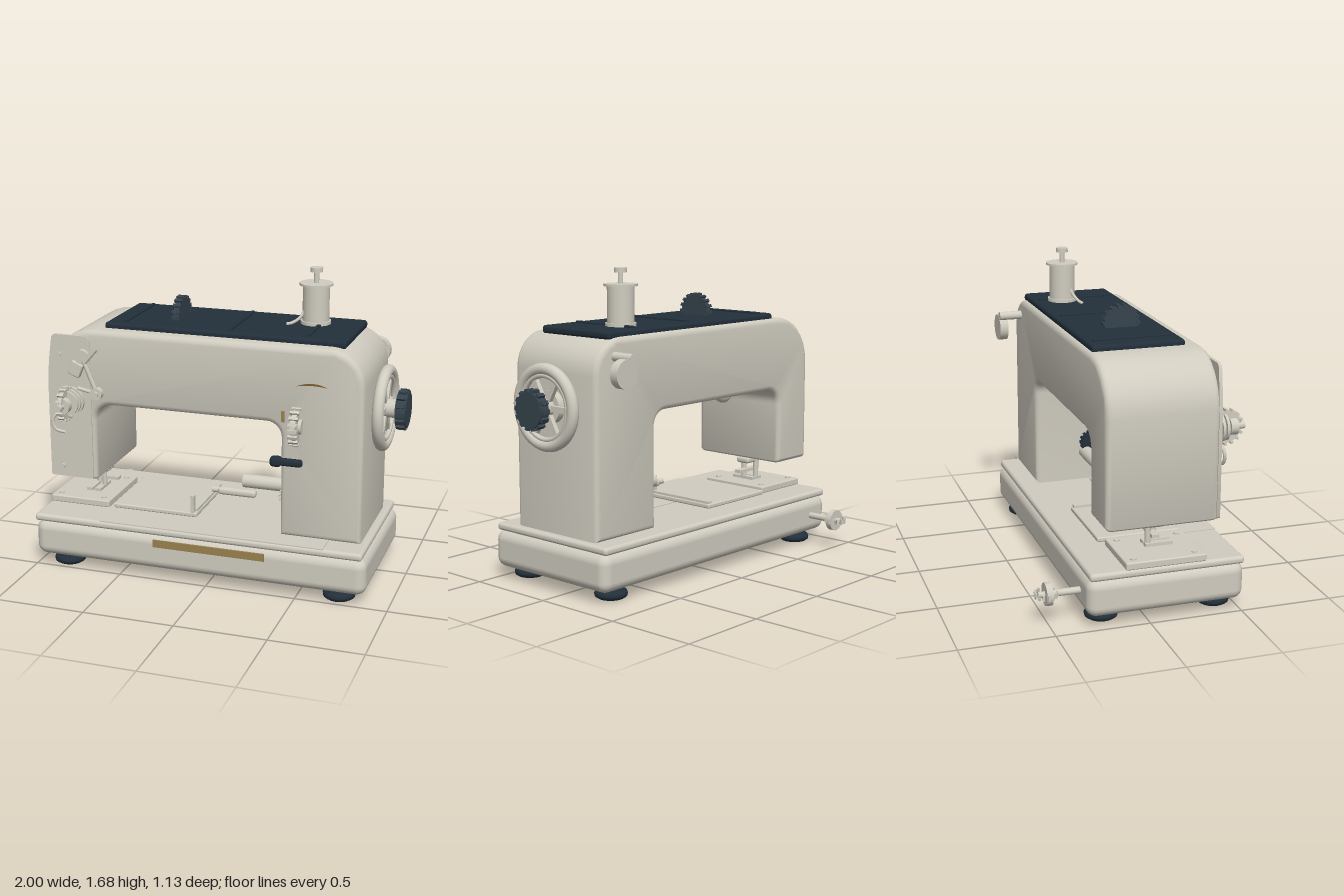
import * as THREE from 'three';
import { toCreasedNormals } from 'three/addons/utils/BufferGeometryUtils.js';
import { RoundedBoxGeometry } from 'three/addons/geometries/RoundedBoxGeometry.js';

const flat = (name, color) => {
  const m = new THREE.MeshStandardMaterial({ color });
  m.name = name;
  return m;
};

// Outline from [x, y, cornerRadius] points with circular-looking corners
function roundedShape(pts) {
  const s = new THREE.Shape(), n = pts.length, k = 0.45;
  pts.forEach(([x, y, r], i) => {
    const p = new THREE.Vector2(x, y);
    const toward = (q, d) => new THREE.Vector2(q[0], q[1]).sub(p).setLength(d).add(p);
    const prev = pts[(i + n - 1) % n], next = pts[(i + 1) % n];
    const a = r ? toward(prev, r) : p, b = r ? toward(next, r) : p;
    if (i) s.lineTo(a.x, a.y); else s.moveTo(a.x, a.y);
    if (r) {
      const c = toward(prev, r * k), d = toward(next, r * k);
      s.bezierCurveTo(c.x, c.y, d.x, d.y, b.x, b.y);
    }
  });
  s.closePath();
  return s;
}

// Extrusion between z0 and z1 with the bevel kept inside the outline
function slab(shape, z0, z1, bevel = 0) {
  const g = new THREE.ExtrudeGeometry(shape, {
    depth: z1 - z0 - 2 * bevel, curveSegments: 8, bevelEnabled: bevel > 0,
    bevelSize: bevel, bevelThickness: bevel, bevelOffset: -bevel, bevelSegments: 3,
  });
  g.translate(0, 0, z0 + bevel);
  return toCreasedNormals(g, 0.6);
}

export function createModel() {
  const root = new THREE.Group();
  root.name = 'sewingMachine';
  const cream = flat('cream enamel', 0xd0ccc0);
  const navy = flat('navy', 0x222f3a);
  const slate = flat('slate knob', 0x36434d);
  const gold = flat('gold trim', 0x9a8250);
  const bronze = flat('bronze mark', 0x7d5f35);

  const add = (name, geo, mat, x = 0, y = 0, z = 0) => {
    const m = new THREE.Mesh(geo, mat);
    m.name = name;
    m.position.set(x, y, z);
    root.add(m);
    return m;
  };
  // Box given by its limits, rounded when r > 0
  const box = (name, mat, [x0, x1], [y0, y1], [z0, z1], r = 0) => {
    const d = [x1 - x0, y1 - y0, z1 - z0];
    const g = r ? new RoundedBoxGeometry(...d, 4, r) : new THREE.BoxGeometry(...d);
    return add(name, g, mat, (x0 + x1) / 2, (y0 + y1) / 2, (z0 + z1) / 2);
  };
  // Cylinder along an axis, centred on x, y, z
  const cyl = (name, mat, axis, r, len, x, y, z, r2 = r) => {
    const g = new THREE.CylinderGeometry(r, r2, len, 32);
    if (axis === 'x') g.rotateZ(-Math.PI / 2);
    if (axis === 'z') g.rotateX(Math.PI / 2);
    return add(name, g, mat, x, y, z);
  };
  // Ring of small grip teeth around an axis
  const teeth = (name, mat, axis, r, count, size, width, x, y, z) => {
    const ring = new THREE.Group();
    ring.name = name;
    for (let i = 0; i < count; i++) {
      const a = (i / count) * Math.PI * 2;
      const t = new THREE.Mesh(new THREE.BoxGeometry(size, size, width), mat);
      t.position.set(Math.cos(a) * r, Math.sin(a) * r, 0);
      t.rotation.z = a;
      ring.add(t);
    }
    if (axis === 'x') ring.rotation.y = Math.PI / 2;
    if (axis === 'y') ring.rotation.x = Math.PI / 2;
    ring.position.set(x, y, z);
    root.add(ring);
  };
  const tube = (name, mat, r, pts) => add(name, new THREE.TubeGeometry(
    new THREE.CatmullRomCurve3(pts.map(p => new THREE.Vector3(...p))), 20, r, 8), mat);

  // Base, deck and feet
  box('base', cream, [-1, 0.88], [0.06, 0.265], [-0.33, 0.515], 0.055);
  box('deck', cream, [-1, 0.86], [0.26, 0.302], [-0.32, 0.51], 0.018);
  box('baseBadge', gold, [-0.295, 0.335], [0.198, 0.24], [0.512, 0.521]);
  for (const x of [-0.84, 0.72]) for (const z of [-0.215, 0.4]) {
    const pts = [[0, 0], [0.07, 0], [0.085, 0.01], [0.088, 0.024], [0.082, 0.038], [0.06, 0.045], [0.05, 0.07], [0, 0.07]];
    add('foot', new THREE.LatheGeometry(pts.map(p => new THREE.Vector2(...p)), 32), navy, x, 0, z);
  }
  box('bedSheet', cream, [-0.61, 0.65], [0.3, 0.306], [0.1, 0.505]);
  box('slidePlate', cream, [-0.61, -0.12], [0.306, 0.332], [-0.16, 0.3], 0.008);
  box('guideRidge', cream, [-0.155, -0.125], [0.33, 0.345], [-0.15, 0.27]);
  box('guidePost', cream, [-0.155, -0.135], [0.33, 0.43], [0.27, 0.3]);
  box('needlePlate', cream, [-0.995, -0.64], [0.3, 0.34], [-0.13, 0.3], 0.008);
  for (const x of [-0.95, -0.69]) for (const z of [-0.08, 0.25])
    cyl('plateScrew', cream, 'y', 0.016, 0.01, x, 0.342, z);

  // Arched body
  const arch = roundedShape([
    [-0.94, 0.49, 0.02], [-0.67, 0.49, 0.02], [-0.67, 0.93, 0.09], [0.38, 0.93, 0.08],
    [0.38, 0.3, 0], [0.82, 0.3, 0], [0.82, 1.345, 0.19], [-0.94, 1.345, 0.27],
  ]);
  add('body', slab(arch, -0.22, 0.385, 0.03), cream);
  const face = roundedShape([[-0.94, 0.5, 0.01], [-0.69, 0.5, 0.01], [-0.69, 1.31, 0.03], [-0.91, 1.31, 0.02], [-0.94, 1.1, 0.1]]);
  add('facePlate', slab(face, 0.372, 0.39), cream);
  for (const y of [0.56, 1.2]) cyl('faceScrew', cream, 'z', 0.014, 0.02, -0.87, y, 0.392);

  // Top cover with ribs and selector dial
  box('topCover', navy, [-0.635, 0.7], [1.33, 1.375], [-0.195, 0.305], 0.018);
  for (const x of [-0.53, 0.06, 0.485]) box('coverRib', navy, [x - 0.011, x + 0.011], [1.365, 1.386], [-0.16, 0.26], 0.006);
  cyl('topDial', slate, 'x', 0.093, 0.03, -0.275, 1.395, 0.075);
  teeth('topDialTeeth', slate, 'x', 0.095, 18, 0.016, 0.044, -0.275, 1.395, 0.075);

  // Winder tower with plunger and spout
  cyl('tower', cream, 'y', 0.072, 0.23, 0.45, 1.475, -0.035);
  cyl('towerFoot', cream, 'y', 0.082, 0.02, 0.45, 1.382, -0.035);
  cyl('towerFlange', cream, 'y', 0.09, 0.012, 0.45, 1.59, -0.035);
  cyl('plungerStem', cream, 'y', 0.014, 0.08, 0.45, 1.63, -0.035);
  cyl('plungerCap', cream, 'y', 0.034, 0.024, 0.45, 1.667, -0.035);
  tube('spout', cream, 0.009, [[0.4, 1.46, -0.01], [0.375, 1.41, 0.015], [0.34, 1.385, 0.035], [0.31, 1.378, 0.05]]);

  // Handwheel on the right end
  const wy = 0.978, wz = 0.093;
  cyl('wheelBearing', cream, 'x', 0.085, 0.05, 0.835, wy, wz);
  const rim = add('wheelRim', new THREE.TorusGeometry(0.2, 0.031, 16, 56), cream, 0.873, wy, wz);
  rim.rotation.y = Math.PI / 2;
  const lip = add('wheelInnerRing', new THREE.TorusGeometry(0.167, 0.014, 10, 48), cream, 0.88, wy, wz);
  lip.rotation.y = Math.PI / 2;
  for (let i = 0; i < 6; i++) {
    const g = new THREE.BoxGeometry(0.024, 0.14, 0.03).translate(0, 0.11, 0);
    add('wheelSpoke', g, cream, 0.872, wy, wz).rotation.x = (i + 0.5) * Math.PI / 3;
  }
  cyl('wheelHub', cream, 'x', 0.05, 0.12, 0.895, wy, wz);
  cyl('clutchKnob', slate, 'x', 0.095, 0.056, 0.967, wy, wz);
  teeth('clutchKnobTeeth', slate, 'x', 0.098, 14, 0.022, 0.045, 0.967, wy, wz);

  // Rear spool disc and rear adjusting screw
  cyl('rearStem', cream, 'z', 0.024, 0.14, 0.685, 1.25, -0.28);
  cyl('rearDisc', cream, 'z', 0.075, 0.048, 0.73, 1.175, -0.327);
  cyl('screwStem', cream, 'z', 0.018, 0.2, -0.85, 0.165, -0.42);
  cyl('screwDisc', cream, 'z', 0.06, 0.032, -0.85, 0.165, -0.5);
  cyl('screwTip', cream, 'z', 0.016, 0.04, -0.85, 0.165, -0.53);
  teeth('screwBeads', cream, 'y', 0.056, 14, 0.011, 0.03, -0.85, 0.165, -0.508);
  teeth('underBeads', cream, 'z', 0.075, 14, 0.012, 0.03, -0.84, 0.1, 0.08);

  // Front tension assembly on the head
  const tx = -0.807, ty = 0.945;
  for (const [r, z, w] of [[0.08, 0.398, 0.02], [0.075, 0.43, 0.014], [0.07, 0.455, 0.014], [0.045, 0.5, 0.04]])
    cyl('tensionDisc', cream, 'z', r, w, tx, ty, z);
  cyl('tensionStem', cream, 'z', 0.018, 0.18, tx, ty, 0.475);
  cyl('tensionWheel', cream, 'x', 0.085, 0.02, tx, ty, 0.46);
  teeth('tensionTeeth', cream, 'x', 0.09, 16, 0.014, 0.036, tx, ty, 0.46);

  // Thread lever, guides and hook
  const rod = (name, r, a, b) => tube(name, cream, r, [a, b]);
  cyl('leverPivot', cream, 'z', 0.04, 0.03, -0.73, 1.2, 0.4);
  cyl('threadGuide', cream, 'z', 0.034, 0.035, -0.65, 1.0, 0.4);
  cyl('threadGuideCentre', cream, 'z', 0.016, 0.05, -0.65, 1.0, 0.405);
  const block = box('leverBlock', cream, [-0.8, -0.73], [1.09, 1.17], [0.385, 0.42], 0.008);
  block.rotation.z = -0.4;
  rod('leverArm', 0.013, [-0.72, 1.18, 0.405], [-0.65, 1.01, 0.405]);
  rod('leverTip', 0.01, [-0.71, 1.17, 0.41], [-0.64, 1.25, 0.41]);
  rod('guideArm', 0.011, [-0.76, 1.02, 0.4], [-0.65, 1.0, 0.4]);
  tube('threadHook', cream, 0.009, [[-0.84, 0.86, 0.4], [-0.88, 0.87, 0.41], [-0.908, 0.83, 0.42], [-0.89, 0.78, 0.42], [-0.84, 0.765, 0.41]]);

  // Lamp under the arm
  box('lampMount', cream, [-0.605, -0.43], [0.88, 0.945], [0.0, 0.16], 0.025);
  add('lampBulb', new THREE.SphereGeometry(0.054, 24, 16), cream, -0.52, 0.892, 0.08);

  // Needle and presser foot
  const nz = 0.08;
  cyl('presserBar', cream, 'y', 0.016, 0.16, -0.8, 0.43, nz - 0.03);
  cyl('needleBar', cream, 'y', 0.014, 0.14, -0.75, 0.43, nz + 0.02);
  box('needleClamp', cream, [-0.835, -0.71], [0.445, 0.482], [nz - 0.04, nz + 0.05], 0.015);
  box('footArm', cream, [-0.84, -0.665], [0.392, 0.41], [nz - 0.02, nz + 0.02]);
  cyl('needle', cream, 'y', 0.005, 0.09, -0.75, 0.37, nz + 0.02);
  for (const x of [-0.81, -0.76]) box('footToe', cream, [x - 0.018, x + 0.018], [0.343, 0.36], [nz - 0.05, nz + 0.1]);

  // Winder dial, spindle and lever inside the pillar
  cyl('innerDial', navy, 'x', 0.056, 0.04, 0.365, 0.535, 0.11);
  teeth('innerDialTeeth', navy, 'x', 0.058, 14, 0.014, 0.036, 0.362, 0.535, 0.11);
  cyl('spindle', cream, 'x', 0.038, 0.3, 0.235, 0.472, 0.08);
  box('lever', cream, [-0.04, 0.18], [0.408, 0.45], [0.13, 0.18], 0.018);
  cyl('leverEnd', cream, 'x', 0.016, 0.06, -0.045, 0.43, 0.155);
  teeth('innerBeads', cream, 'z', 0.038, 10, 0.01, 0.02, 0.35, 0.44, 0.16);

  // Pillar front: stitch dial, reverse lever and trim
  cyl('stitchDial', cream, 'x', 0.095, 0.026, 0.47, 0.925, 0.385);
  teeth('stitchDialTeeth', cream, 'x', 0.098, 18, 0.016, 0.05, 0.47, 0.925, 0.385);
  cyl('stitchHub', cream, 'x', 0.04, 0.06, 0.47, 0.925, 0.39);
  box('reverseLeverGrip', navy, [0.33, 0.395], [0.698, 0.755], [0.375, 0.43], 0.022);
  box('reverseLeverArm', navy, [0.38, 0.505], [0.706, 0.746], [0.38, 0.42], 0.016);
  box('indicator', gold, [0.383, 0.401], [0.94, 1.0], [0.382, 0.389]);
  const mark = new THREE.Shape();
  mark.moveTo(0.465, 1.142);
  mark.quadraticCurveTo(0.55, 1.178, 0.625, 1.145);
  mark.quadraticCurveTo(0.55, 1.158, 0.465, 1.142);
  add('pillarMark', slab(mark, 0.384, 0.39), bronze);

  return root;
}
